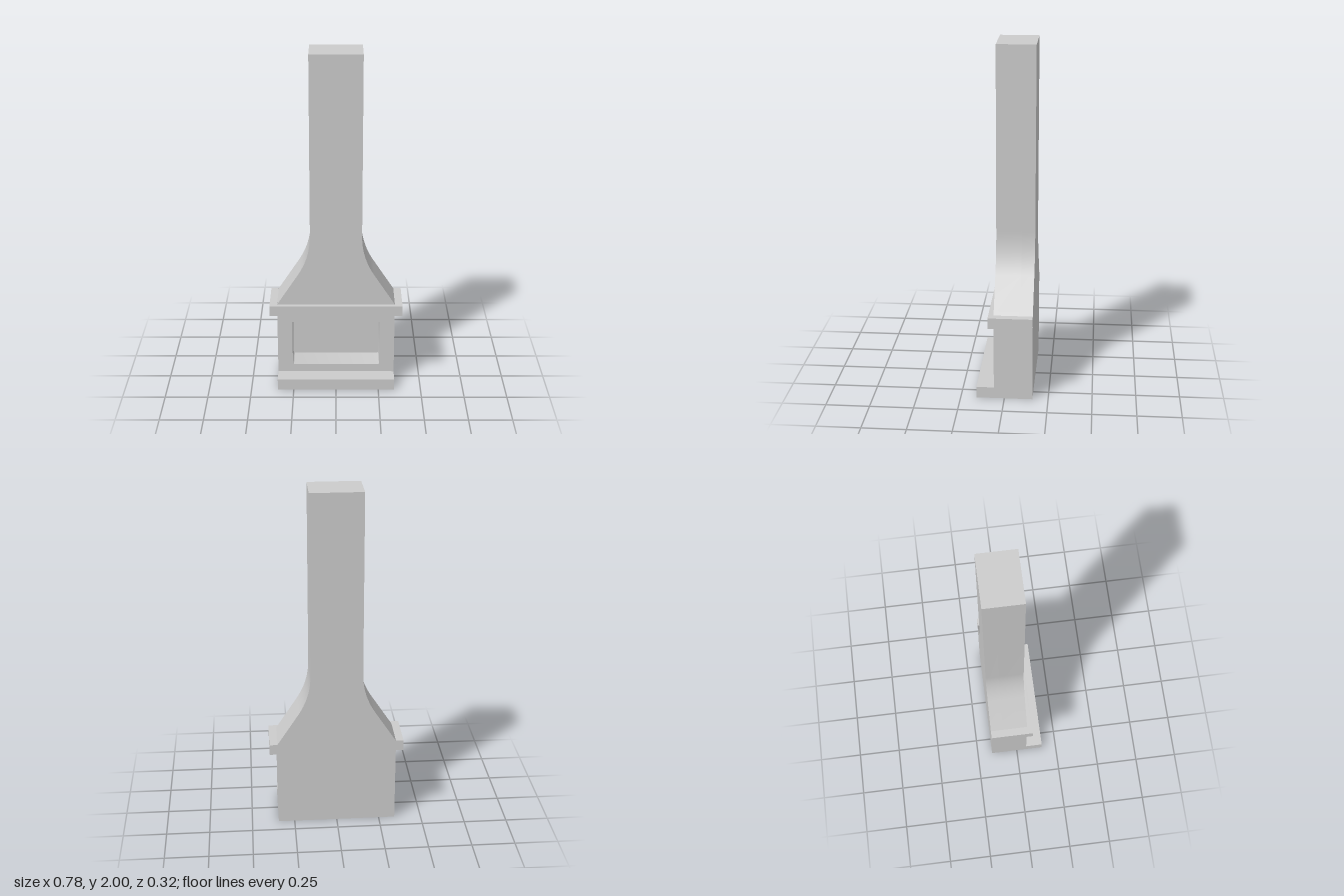
import * as THREE from 'three';
import { toCreasedNormals } from 'three/addons/utils/BufferGeometryUtils.js';

const BACK = -0.16, FRONT = 0.06, FIREBOX_BACK = -0.085;
const BODY = 0.344, FLUE = 0.149;

// Outline of the hearth body, flared hood and flue, seen from the front
function silhouette() {
  const s = new THREE.Shape();
  s.moveTo(-BODY, 0);
  s.lineTo(BODY, 0);
  s.lineTo(BODY, 0.51);
  s.lineTo(0.22, 0.70);
  s.quadraticCurveTo(FLUE, 0.81, FLUE, 0.94);
  s.lineTo(FLUE, 2);
  s.lineTo(-FLUE, 2);
  s.lineTo(-FLUE, 0.94);
  s.quadraticCurveTo(-FLUE, 0.81, -0.22, 0.70);
  s.lineTo(-BODY, 0.51);
  s.closePath();
  return s;
}

// Firebox opening with slightly rounded corners
function opening() {
  const x = 0.257, y0 = 0.114, y1 = 0.397, r = 0.01;
  const p = new THREE.Path();
  p.absarc(x - r, y0 + r, r, -Math.PI / 2, 0);
  p.absarc(x - r, y1 - r, r, 0, Math.PI / 2);
  p.absarc(-x + r, y1 - r, r, Math.PI / 2, Math.PI);
  p.absarc(-x + r, y0 + r, r, Math.PI, Math.PI * 1.5);
  p.closePath();
  return p;
}

function extrude(shape, depth) {
  const g = new THREE.ExtrudeGeometry(shape, { depth, bevelEnabled: false, curveSegments: 14 });
  return toCreasedNormals(g, 0.5);
}

export function createModel() {
  const model = new THREE.Group();
  model.name = 'fireplace';
  const material = new THREE.MeshStandardMaterial({ color: 0xcccccc });
  const add = (name, geometry) => {
    const mesh = new THREE.Mesh(geometry, material);
    mesh.name = name;
    model.add(mesh);
    return mesh;
  };

  // Front half carries the opening; the back half closes the firebox
  const frontShape = silhouette();
  frontShape.holes.push(opening());
  add('chimneyFront', extrude(frontShape, FRONT - FIREBOX_BACK)).position.z = FIREBOX_BACK;
  add('chimneyBack', extrude(silhouette(), FIREBOX_BACK - BACK)).position.z = BACK;

  // Mantel shelf wrapping the front and both sides
  const w = 0.388, lip = 0.09;
  const mantel = new THREE.Shape([
    [-w, -lip], [w, -lip], [w, -BACK], [BODY, -BACK],
    [BODY, -FRONT], [-BODY, -FRONT], [-BODY, -BACK], [-w, -BACK],
  ].map(([x, y]) => new THREE.Vector2(x, y)));
  const mantelGeometry = extrude(mantel, 0.062);
  mantelGeometry.rotateX(-Math.PI / 2);
  add('mantelShelf', mantelGeometry).position.y = 0.449;

  // Hearth slab in front of the opening
  const hearth = add('hearthSlab', new THREE.BoxGeometry(BODY * 2, 0.066, 0.16 - FRONT));
  hearth.position.set(0, 0.033, (0.16 + FRONT) / 2);

  return model;
}
